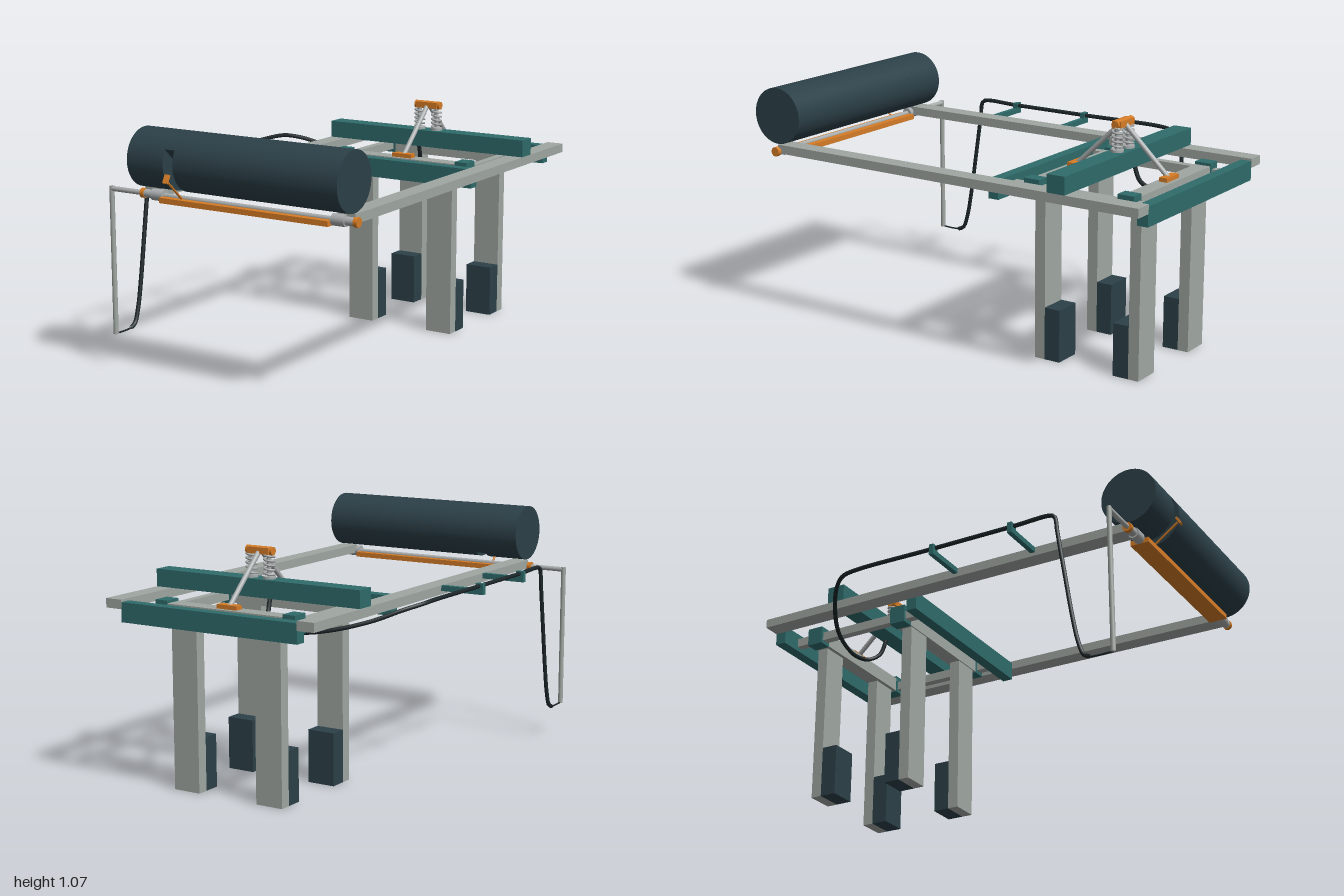
import * as THREE from 'three';

export function createModel() {
  const model = new THREE.Group();
  const mat = (name, color) => {
    const m = new THREE.MeshStandardMaterial({ color });
    m.name = name;
    return m;
  };
  const grey = mat('painted grey', 0xa0a7a2);
  const steel = mat('steel', 0xa9adad);
  const teal = mat('teal', 0x2f6b6b);
  const orange = mat('orange', 0xd67d27);
  const slate = mat('dark slate', 0x2c4048);
  const black = mat('cable black', 0x1c2629);

  const add = (name, geometry, material) => {
    const mesh = new THREE.Mesh(geometry, material);
    mesh.name = name;
    model.add(mesh);
    return mesh;
  };
  // Box given by its limits on each axis
  const box = (name, m, x0, x1, y0, y1, z0, z1) => {
    const mesh = add(name, new THREE.BoxGeometry(x1 - x0, y1 - y0, z1 - z0), m);
    mesh.position.set((x0 + x1) / 2, (y0 + y1) / 2, (z0 + z1) / 2);
    return mesh;
  };
  // Round bar between two points
  const rod = (name, m, a, b, r, sides = 20) => {
    const p = new THREE.Vector3(...a), q = new THREE.Vector3(...b);
    const mesh = add(name, new THREE.CylinderGeometry(r, r, p.distanceTo(q), sides), m);
    mesh.position.copy(p).add(q).multiplyScalar(0.5);
    mesh.quaternion.setFromUnitVectors(new THREE.Vector3(0, 1, 0), q.sub(p).normalize());
    return mesh;
  };
  const tube = (name, m, points, r, steps) => {
    const curve = new THREE.CatmullRomCurve3(points.map(p => new THREE.Vector3(...p)), false, 'centripetal');
    return add(name, new THREE.TubeGeometry(curve, steps, r, 8, false), m);
  };

  const MID = -0.617;           // centre of the clamp along z
  const CX = 0.09;              // centre of the frame along x

  // Main frame
  for (const s of [-1, 1]) {
    const x = CX + s * 0.477;
    box('sideRail', grey, x - 0.04, x + 0.04, 0.78, 0.82, -1, 0.85);
    const z = MID + s * 0.357;
    box('crossBeam', teal, CX - 0.438, CX + 0.438, 0.725, 0.81, z - 0.025, z + 0.025);
  }
  box('topBeam', teal, -0.425, 0.607, 0.82, 0.897, -0.66, -0.575);

  // Sliding leg carriers, legs, pads and links, mirrored about the clamp centre
  for (const s of [-1, 1]) {
    const bx = CX + s * 0.32;
    box('guideBar', grey, bx - 0.018, bx + 0.018, 0.745, 0.785, -0.95, -0.285);
    const z = MID + s * 0.226;
    box('legCarrier', grey, CX - 0.295, CX + 0.295, 0.735, 0.8, z - 0.036, z + 0.036);
    for (const t of [-1, 1]) {
      const x = CX + t * 0.32;
      box('slideBlock', teal, x - 0.03, x + 0.03, 0.73, 0.812, z - 0.038, z + 0.038);
      const lx = CX + t * 0.21, lz = MID + s * 0.232, pz = MID + s * 0.17;
      box('leg', grey, lx - 0.064, lx + 0.064, 0, 0.74, lz - 0.025, lz + 0.025);
      box('gripPad', slate, lx - 0.064, lx + 0.064, 0, 0.233, pz - 0.037, pz + 0.037);
    }
    box('linkFoot', orange, CX - 0.05, CX + 0.05, 0.795, 0.818, z - 0.019, z + 0.019);
    rod('linkRod', steel, [CX, 0.805, z], [CX, 1.01, MID + s * 0.01], 0.011);
  }

  // Spring-loaded clamp head
  box('clampHead', orange, CX - 0.055, CX + 0.055, 1.0, 1.028, MID - 0.022, MID + 0.022);
  rod('headPin', orange, [CX - 0.066, 1.014, MID], [CX + 0.066, 1.014, MID], 0.018);
  for (const s of [-1, 1]) {
    const x = CX + s * 0.045;
    const coil = [];
    for (let i = 0; i <= 60; i++) {
      const a = i / 60 * Math.PI * 10;
      coil.push([x + 0.021 * Math.cos(a), 0.905 + i / 60 * 0.095, MID + 0.021 * Math.sin(a)]);
    }
    tube('spring', steel, coil, 0.005, 120);
    rod('springGuide', steel, [x, 0.89, MID], [x, 1.005, MID], 0.009);
    rod('springSeat', steel, [x, 0.895, MID], [x, 0.908, MID], 0.028);
  }

  // Drum with a slanted notch for the lever
  const DY = 0.948, DZ = 0.853, R = 0.126;
  rod('drum', slate, [-0.42, DY, DZ], [-0.235, DY, DZ], R, 64);
  rod('drum', slate, [-0.185, DY, DZ], [0.603, DY, DZ], R, 64);
  const cut = new THREE.Shape();
  cut.absarc(0, 0, R, 0.51, 4.09, false);
  cut.closePath();
  const notch = add('drumNotch', new THREE.ExtrudeGeometry(cut, { depth: 0.05, bevelEnabled: false, curveSegments: 48 }), slate);
  notch.rotation.y = -Math.PI / 2;
  notch.position.set(-0.185, DY, DZ);

  // Front shaft, collars, nuts and roller plate
  const SY = 0.789, SZ = 0.853;
  const onShaft = (name, m, x0, x1, r, sides) => rod(name, m, [x0, SY, SZ], [x1, SY, SZ], r, sides);
  onShaft('shaft', steel, -0.61, 0.615, 0.011);
  onShaft('collar', steel, -0.385, -0.325, 0.025);
  onShaft('collar', steel, 0.507, 0.568, 0.025);
  onShaft('sleeve', steel, -0.425, -0.385, 0.018);
  onShaft('sleeve', steel, 0.568, 0.607, 0.018);
  onShaft('nut', orange, -0.445, -0.425, 0.021);
  onShaft('nut', orange, 0.607, 0.625, 0.021);
  box('pivotPlate', orange, -0.325, 0.507, 0.765, 0.788, SZ - 0.042, SZ + 0.042);

  // Release lever in the notch
  rod('leverArm', orange, [-0.228, 0.79, 0.868], [-0.215, 0.885, 0.982], 0.005, 8);
  const pad = box('leverPad', orange, -0.222, -0.198, 0.874, 0.912, 0.983, 0.992);
  pad.rotation.x = -0.5;

  // Hanging handle
  rod('handle', grey, [-0.61, 0.8, SZ], [-0.61, 0.148, SZ], 0.011);

  // Cable and its brackets
  tube('cableWire', black, [[-0.61, 0.15, 0.85], [-0.61, 0.148, 0.8], [-0.61, 0.15, 0.74]], 0.004, 8);
  tube('cable', black, [
    [-0.61, 0.15, 0.755], [-0.61, 0.165, 0.725], [-0.61, 0.23, 0.7], [-0.61, 0.35, 0.676],
    [-0.61, 0.55, 0.645], [-0.61, 0.75, 0.615], [-0.61, 0.82, 0.605], [-0.61, 0.833, 0.59],
    [-0.61, 0.833, 0.4], [-0.61, 0.833, 0], [-0.61, 0.833, -0.4], [-0.6, 0.827, -0.46],
    [-0.55, 0.808, -0.525], [-0.45, 0.765, -0.6], [-0.32, 0.728, -0.67], [-0.2, 0.708, -0.705],
    [-0.1, 0.703, -0.717], [-0.02, 0.715, -0.7], [0.02, 0.75, -0.665], [0.028, 0.82, -0.64],
    [0.035, 0.905, -0.625],
  ], 0.0095, 160);
  for (const z of [0.017, 0.4]) {
    box('cableBracket', teal, -0.625, -0.425, 0.796, 0.82, z - 0.011, z + 0.011);
    box('cableClip', teal, -0.631, -0.594, 0.796, 0.845, z - 0.011, z + 0.011);
  }
  return model;
}
